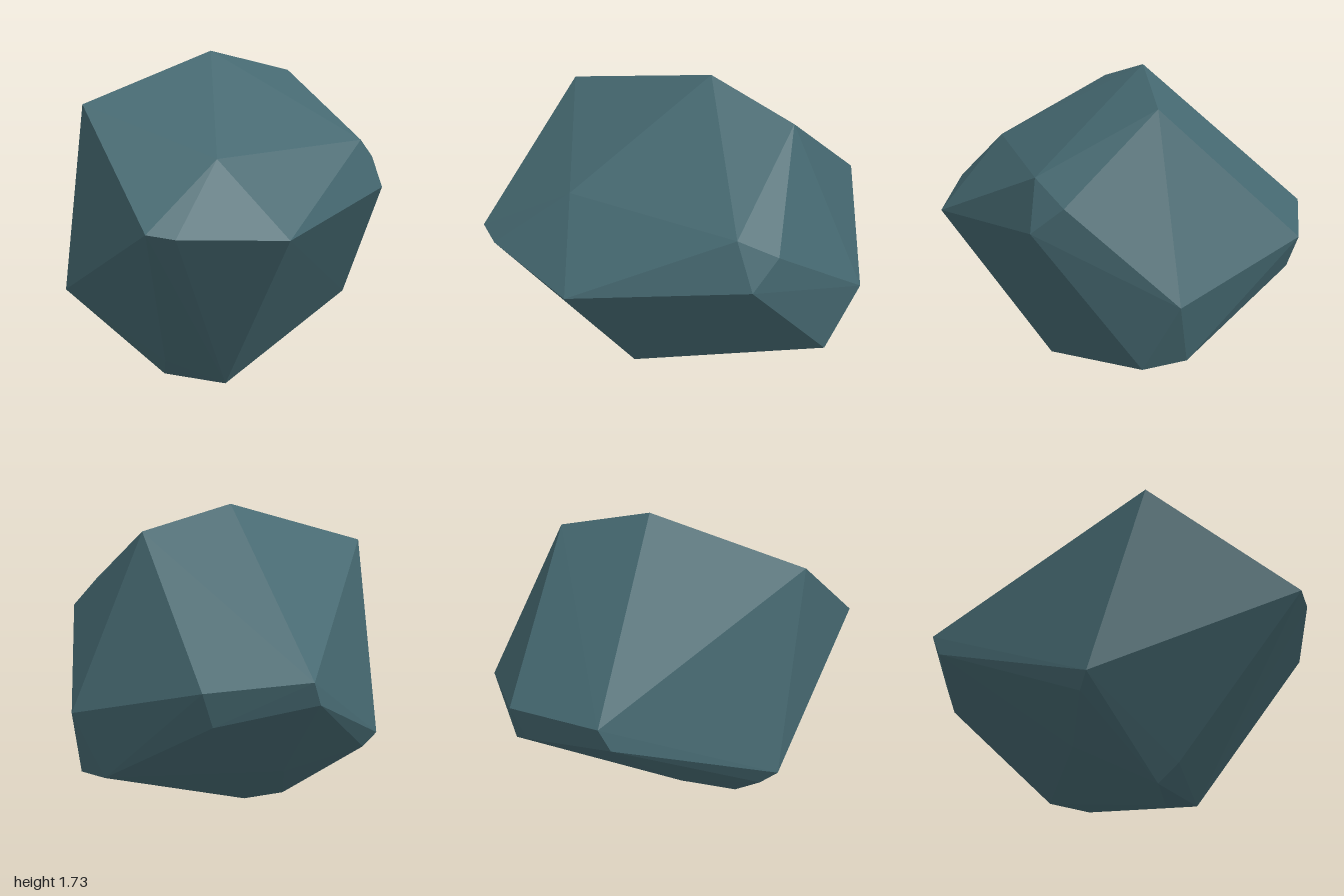
import * as THREE from 'three';
import { ConvexGeometry } from 'three/addons/geometries/ConvexGeometry.js';

export function createModel() {
  const group = new THREE.Group();
  group.name = 'rock';

  const slate = new THREE.MeshStandardMaterial({ color: 0x456870 });
  slate.name = 'slateTeal';

  // Corners of the faceted boulder; their convex hull gives the flat faces
  const corners = [
    // crest
    [-0.05, 1.73, -0.11], [0.45, 1.6, -0.15], [-0.86, 1.5, 0.05],
    // upper front slope
    [0.55, 1.28, 0.48], [-0.39, 1.27, 0.66], [0.71, 1.16, 0.34],
    // front rim
    [-0.16, 0.9, 1.0], [0.67, 1.02, 0.51], [-0.73, 0.94, 0.905], [-0.86, 0.965, 0.845],
    // sides
    [0.86, 0.675, -0.235], [0.77, 0.31, -0.05], [0.7, 0.327, -0.285],
    [-0.86, 0.455, -0.25], [-0.77, 0.385, -0.27],
    // back rim
    [-0.19, 0.915, -1.0], [0.36, 0.875, -0.91], [-0.24, 0.79, -0.96], [0.29, 0.69, -0.86],
    // underside
    [-0.31, 0.275, -0.255], [-0.5, 0.14, 0.26], [-0.46, 0.037, 0.16],
    [-0.215, 0.015, 0.4], [-0.25, 0, 0.23],
  ].map((p) => new THREE.Vector3(...p));

  const boulder = new THREE.Mesh(new ConvexGeometry(corners), slate);
  boulder.name = 'boulder';
  group.add(boulder);
  return group;
}
